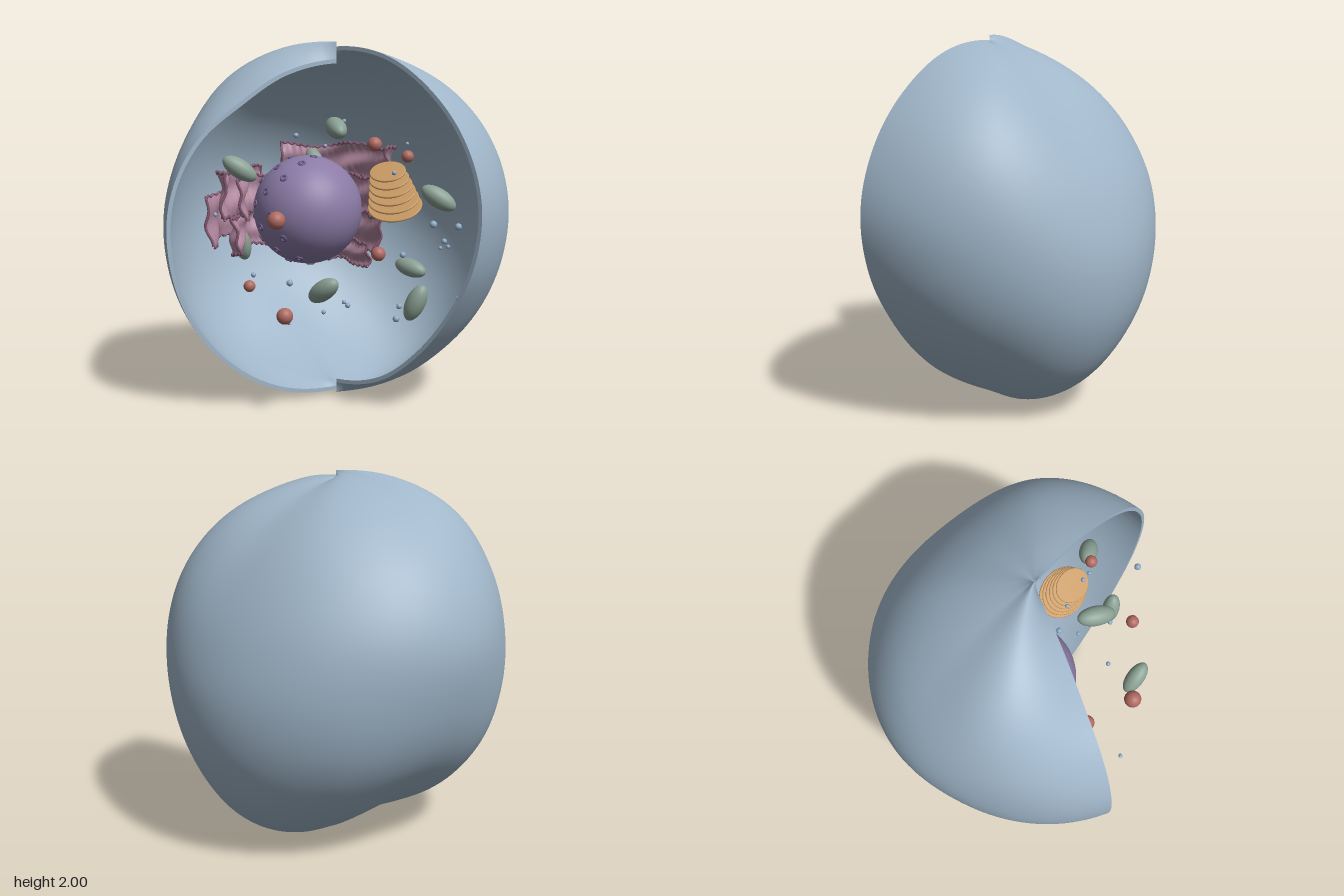
import * as THREE from 'three';

const mat = (name, color, side = THREE.FrontSide) => {
  const m = new THREE.MeshStandardMaterial({ color, side });
  m.name = name;
  return m;
};
const DEG = Math.PI / 180;

// Catmull-Rom sampling of a short list at a fractional index
function spline(list, f) {
  const n = list.length - 1;
  const i = Math.min(Math.floor(f), n - 1), t = f - i;
  const p1 = list[i], p2 = list[i + 1];
  const p0 = i > 0 ? list[i - 1] : 2 * p1 - p2;
  const p3 = i + 2 <= n ? list[i + 2] : 2 * p2 - p1;
  return p1 + 0.5 * t * (p2 - p0 + t * (2 * p0 - 5 * p1 + 4 * p2 - p3 + t * (3 * (p1 - p2) + p3 - p0)));
}

// Smooth surface from a rule fn(u, v) -> Vector3
function surface(fn, nu, nv) {
  const pos = [], idx = [];
  for (let j = 0; j <= nv; j++) {
    for (let i = 0; i <= nu; i++) {
      pos.push(...fn(i / nu, j / nv).toArray());
      if (i < nu && j < nv) {
        const a = j * (nu + 1) + i, b = a + nu + 1;
        idx.push(a, a + 1, b, a + 1, b + 1, b);
      }
    }
  }
  const g = new THREE.BufferGeometry();
  g.setAttribute('position', new THREE.Float32BufferAttribute(pos, 3));
  g.setIndex(idx);
  g.computeVertexNormals();
  return g;
}

// Membrane meridians: azimuth (from +x towards +z), then radii from top pole to bottom pole
const AZIMUTHS = [106.8, 145, 182, 225, 270, 312, 351.6];
const MERIDIANS = [
  [0.90, 0.885, 0.875, 0.93, 0.966, 0.976, 0.988, 0.996, 0.995, 0.97],
  [0.99, 1.015, 1.02, 0.975, 0.94, 0.935, 0.95, 0.95, 0.93, 0.95],
  [0.985, 0.965, 0.955, 0.965, 0.962, 0.917, 0.895, 0.88, 0.90, 0.96],
  [0.97, 0.925, 0.905, 0.90, 0.915, 0.93, 0.95, 0.96, 0.97, 0.98],
  [0.955, 0.89, 0.853, 0.85, 0.885, 0.95, 1.01, 1.055, 1.04, 0.985],
  [0.96, 0.95, 0.96, 0.96, 0.95, 0.94, 0.94, 0.945, 0.965, 0.96],
  [0.97, 0.98, 0.975, 0.98, 0.973, 0.93, 0.885, 0.883, 0.915, 0.93],
];
function membranePoint(u, v, inset) {
  const f = u * (AZIMUTHS.length - 1);
  const az = spline(AZIMUTHS, f) * DEG;
  const r = spline(MERIDIANS.map((m) => spline(m, v * 9)), f) - inset;
  const t = v * Math.PI, h = r * Math.sin(t);
  return new THREE.Vector3(h * Math.cos(az), 1 + r * Math.cos(t), h * Math.sin(az));
}

export function createModel() {
  const model = new THREE.Group();
  model.name = 'cell';
  const M = {
    membrane: mat('membrane blue', 0xa0b6c9, THREE.DoubleSide),
    nucleus: mat('nucleus purple', 0x8b7ba6),
    pore: mat('pore purple', 0x6d5a8c),
    sheet: mat('reticulum pink', 0xad849b, THREE.DoubleSide),
    edge: mat('reticulum edge', 0x865a72),
    golgi: mat('golgi amber', 0xc99b65),
    mito: mat('mitochondrion green', 0x8aa093),
    lyso: mat('lysosome red', 0xb06a62),
    vesicle: mat('vesicle blue', 0x8fabc6),
  };
  const group = (name) => {
    const g = new THREE.Group();
    g.name = name;
    model.add(g);
    return g;
  };
  const add = (parent, name, geometry, material, p = [0, 0, 0]) => {
    const m = new THREE.Mesh(geometry, material);
    m.name = name;
    m.position.set(...p);
    parent.add(m);
    return m;
  };

  // Cut-open membrane: outer wall, inner wall and the two cut rims
  const membrane = group('membrane');
  const WALL = 0.022;
  add(membrane, 'outerWall', surface((u, v) => membranePoint(u, v, 0), 96, 72), M.membrane);
  add(membrane, 'innerWall', surface((u, v) => membranePoint(1 - u, v, WALL), 96, 72), M.membrane);
  for (const side of [0, 1]) {
    const rim = (u, v) => membranePoint(side, v, WALL * (side ? u : 1 - u));
    add(membrane, 'cutRim', surface(rim, 1, 72), M.membrane);
  }

  // Nucleus with pore rings on the side away from the cut
  const C = new THREE.Vector3(-0.17, 1.06, 0.07), NR = 0.307;
  const nucleus = group('nucleus');
  add(nucleus, 'nucleusBody', new THREE.SphereGeometry(NR, 48, 32), M.nucleus, C.toArray());
  const ring = new THREE.TorusGeometry(0.016, 0.007, 8, 14);
  const Z = new THREE.Vector3(0, 0, 1);
  const PORES = 64;
  for (let i = 0; i < PORES; i++) {
    const y = 1 - (2 * i + 1) / PORES, h = Math.sqrt(1 - y * y), a = i * 2.39996;
    const d = new THREE.Vector3(h * Math.cos(a), y, h * Math.sin(a));
    if (d.x > 0.42) continue;
    const p = d.clone().multiplyScalar(NR).add(C);
    add(nucleus, 'pore', ring, M.pore, p.toArray()).quaternion.setFromUnitVectors(Z, d);
  }

  // Rippled reticulum sheets round the back: radius, mid height, height, from, to
  const reticulum = group('reticulum');
  const bands = [
    [0.47, 1.30, 0.20, 200, 318],
    [0.40, 1.13, 0.20, 195, 300],
    [0.48, 1.14, 0.25, 108, 185],
    [0.42, 0.91, 0.20, 110, 182],
    [0.55, 1.00, 0.28, 126, 168],
    [0.37, 1.13, 0.22, 118, 185],
    [0.40, 0.91, 0.20, 190, 303],
    [0.37, 0.78, 0.14, 197, 285],
  ];
  bands.forEach(([r, y, h, from, to], k) => {
    const point = (u, v) => {
      const a = (from + (to - from) * u) * DEG;
      const rr = r + 0.022 * Math.sin(a * 11 + k * 2 + v * 2.5) + 0.012 * Math.sin(v * 9 + a * 4);
      const fray = 0.006 * Math.sin(a * 75) * (2 * v - 1);
      const yy = y + (0.5 - v) * h + 0.015 * Math.sin(a * 6 + k) + fray;
      return new THREE.Vector3(C.x + rr * Math.cos(a), yy, C.z + rr * Math.sin(a));
    };
    const steps = Math.round((to - from) * 0.9);
    add(reticulum, 'reticulumSheet', surface(point, steps, 12), M.sheet);
    const trim = (n, rule) => {
      const pts = Array.from({ length: n + 1 }, (_, i) => rule(i / n));
      const curve = new THREE.CatmullRomCurve3(pts);
      add(reticulum, 'reticulumEdge', new THREE.TubeGeometry(curve, n, 0.008, 6), M.edge);
    };
    for (const e of [0, 1]) {
      trim(steps, (t) => point(t, e));
      trim(16, (t) => point(e, t));
    }
  });

  // Golgi: tilted stack of thin oval discs, narrowing upwards
  const golgi = group('golgi');
  for (let i = 0; i < 6; i++) {
    const t = i / 5, r = 0.167 - 0.057 * t, e = 0.006;
    const profile = [[0, -e], [r - e, -e], [r - 0.3 * e, -0.6 * e], [r, 0], [r - 0.3 * e, 0.6 * e], [r - e, e], [0, e]]
      .map(([x, y]) => new THREE.Vector2(x, y));
    const disc = add(golgi, 'golgiDisc', new THREE.LatheGeometry(profile, 40).scale(1, 1, 0.79), M.golgi,
      [0.328 + 0.005 * t, 1.11 + 0.19 * t, -0.135 + 0.06 * t]);
    disc.rotation.set(32 * DEG, 0, -9 * DEG);
  }

  // Mitochondria: position, then direction of the long axis
  const mitochondria = group('mitochondria');
  const bean = new THREE.SphereGeometry(1, 28, 18).scale(0.052, 0.104, 0.052);
  const UP = new THREE.Vector3(0, 1, 0);
  for (const [p, d] of [
    [[0.235, 1.54, 0.205], [0.9, -0.25, 0.4]],
    [[0.583, 1.17, -0.21], [0.65, -0.5, -0.5]],
    [[-0.195, 1.315, 0.52], [0.45, -0.55, -0.7]],
    [[0.105, 0.695, -0.48], [0.95, -0.2, -0.2]],
    [[0.40, 0.73, 0.43], [0.8, 0.52, -0.12]],
    [[0.62, 0.64, -0.01], [0.36, 0.9, -0.2]],
    [[-0.44, 1.29, -0.21], [0.5, -0.75, 0]],
    [[-0.58, 0.83, 0.24], [0.1, 0.9, 0.3]],
  ]) {
    add(mitochondria, 'mitochondrion', bean, M.mito, p)
      .quaternion.setFromUnitVectors(UP, new THREE.Vector3(...d).normalize());
  }

  // Lysosomes and vesicles: x, y, z, radius
  const balls = (groupName, name, material, list) => {
    const g = group(groupName);
    const ball = new THREE.SphereGeometry(1, 20, 14);
    for (const [x, y, z, r] of list) add(g, name, ball, material, [x, y, z]).scale.setScalar(r);
  };
  balls('lysosomes', 'lysosome', M.lyso, [
    [-0.08, 1.415, -0.36, 0.043], [0.475, 1.39, -0.085, 0.033], [0.2, 1.08, 0.575, 0.047],
    [0.565, 0.915, 0.205, 0.037], [0.05, 0.53, 0.41, 0.045], [-0.37, 0.62, 0.34, 0.034],
  ]);
  balls('vesicles', 'vesicle', M.vesicle, [
    [-0.06, 1.49, 0.24, 0.014], [0.13, 1.44, 0.19, 0.01], [0.40, 1.30, -0.06, 0.013],
    [0.15, 1.57, 0.075, 0.011], [0.17, 1.43, -0.38, 0.01], [-0.07, 1.10, 0.765, 0.011],
    [0.765, 1.07, 0.015, 0.019], [0.645, 1.015, -0.3, 0.019], [0.355, 0.88, -0.5, 0.016],
    [0.31, 0.835, -0.58, 0.012], [0.23, 0.815, -0.6, 0.011], [0.07, 0.77, -0.45, 0.018],
    [-0.155, 0.655, 0.215, 0.019], [0.37, 0.62, 0.24, 0.014], [0.56, 0.62, 0.05, 0.015],
    [0.68, 0.635, -0.27, 0.013], [0.33, 0.48, -0.15, 0.019], [-0.11, 0.5, -0.15, 0.013],
    [-0.42, 0.67, 0.275, 0.015], [-0.4, 0.35, 0.035, 0.012], [-0.32, 0.4, -0.17, 0.014],
  ]);

  return model;
}
